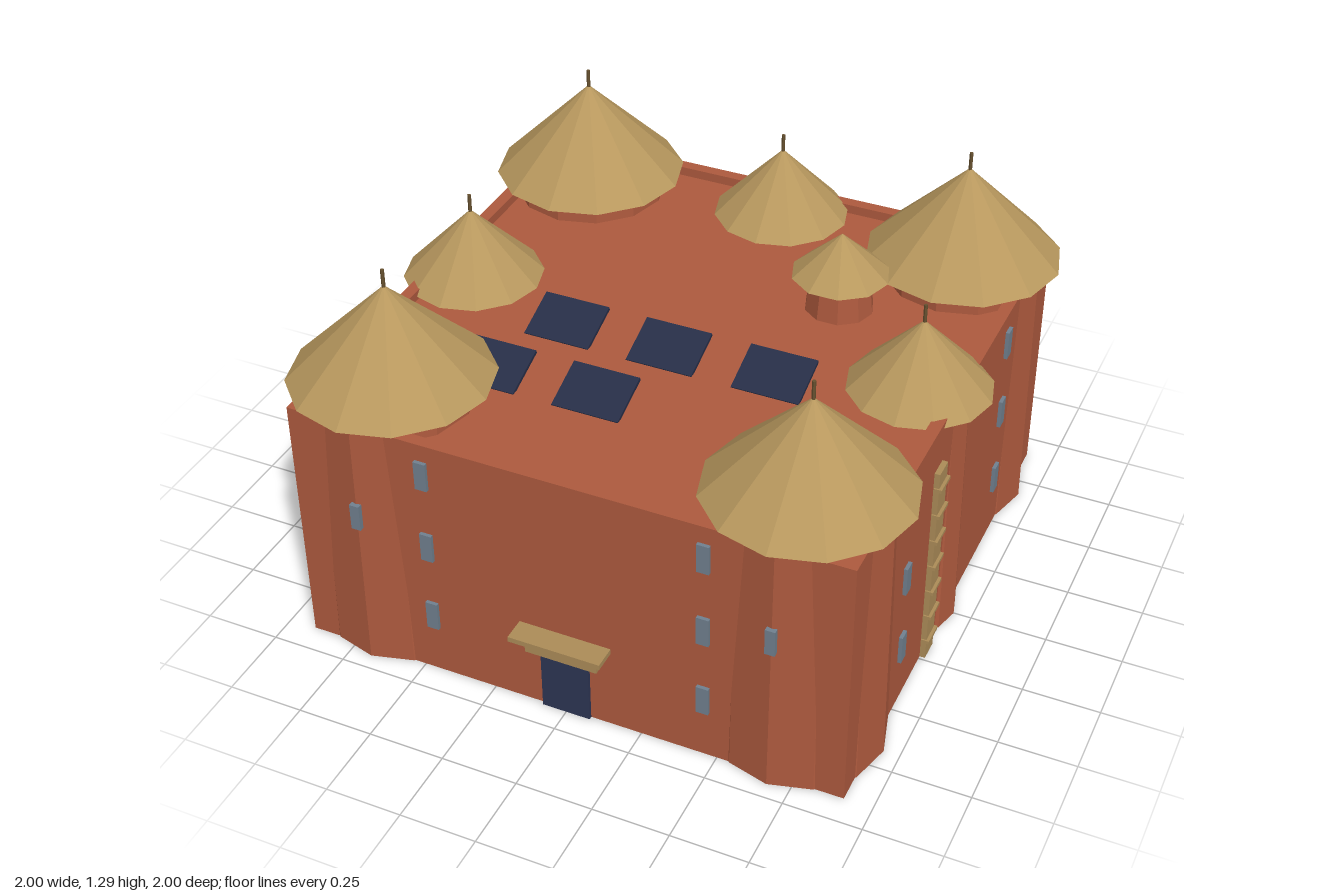
import * as THREE from 'three';

const mat = (name, color) => {
  const m = new THREE.MeshStandardMaterial({ color, flatShading: true });
  m.name = name;
  return m;
};

export function createModel() {
  const clay = mat('terracotta clay', 0xae5a3e);
  const thatch = mat('straw thatch', 0xb8985e);
  const wood = mat('pale wood', 0xac8c58);
  const pole = mat('dark wood', 0x66502f);
  const glass = mat('window slate', 0x70808f);
  const navy = mat('door navy', 0x2d3554);
  const panelBlue = mat('panel navy', 0x272e47);

  const root = new THREE.Group();
  root.name = 'fortress';

  const add = (parent, name, geo, material, x, y, z) => {
    const m = new THREE.Mesh(geo, material);
    m.name = name;
    m.position.set(x, y, z);
    parent.add(m);
    return m;
  };
  const box = (parent, name, material, w, h, d, x, y, z) =>
    add(parent, name, new THREE.BoxGeometry(w, h, d), material, x, y, z);
  // upright faceted drum between two heights
  const drum = (parent, name, material, rTop, rBase, y0, y1, sides = 12) =>
    add(parent, name, new THREE.CylinderGeometry(rTop, rBase, y1 - y0, sides), material, 0, (y0 + y1) / 2, 0);

  // main block with a sunken roof deck and parapet
  const W = 0.908, H = 0.88, DECK = 0.848, T = 0.04;
  box(root, 'mainBlock', clay, 2 * W, DECK, 2 * W, 0, DECK / 2, 0);
  for (const s of [-1, 1]) {
    const y = (H + DECK) / 2, h = H - DECK, c = s * (W - T / 2);
    box(root, 'parapet', clay, 2 * W, h, T, 0, y, c);
    box(root, 'parapet', clay, T, h, 2 * (W - T), c, y, 0);
  }

  // tapered towers with a rim, conical thatch roof and finial
  const tower = (name, x, z, o) => {
    const g = new THREE.Group();
    g.name = name;
    g.position.set(x, 0, z);
    drum(g, 'towerWall', clay, o.rTop, o.rBase, o.y0, o.eave, o.sides);
    drum(g, 'towerRim', clay, o.rim, o.rim, o.rimY, o.eave, o.sides);
    add(g, 'thatchRoof', new THREE.ConeGeometry(o.roof, o.apex - o.eave, o.sides), thatch, 0, (o.eave + o.apex) / 2, 0);
    if (o.tip) drum(g, 'finial', pole, 0.006, 0.006, o.apex - 0.02, o.tip, 6);
    root.add(g);
    return g;
  };
  const big = { rTop: 0.257, rBase: 0.271, rim: 0.266, rimY: 0.885, roof: 0.322, y0: 0, eave: 0.92, apex: 1.24, tip: 1.295, sides: 12 };
  const small = { rTop: 0.158, rBase: 0.171, rim: 0.171, rimY: 0.828, roof: 0.23, y0: 0, eave: 0.86, apex: 1.1, tip: 1.155, sides: 12 };
  const vent = { rTop: 0.1, rBase: 0.113, rim: 0.11, rimY: 0.96, roof: 0.16, y0: DECK, eave: 0.973, apex: 1.12, sides: 10 };
  for (const x of [-0.677, 0.677]) for (const z of [-0.677, 0.677]) tower('cornerTower', x, z, big);
  tower('sideTower', -0.77, 0, small);
  tower('sideTower', 0.77, 0, small);
  tower('backTower', 0, -0.77, small);
  tower('roofTurret', 0.383, -0.323, vent).rotation.y = Math.PI / 10;

  // windows: two columns of three on every wall
  for (let i = 0; i < 4; i++) {
    const side = new THREE.Group();
    side.name = 'wallWindows';
    side.rotation.y = (i * Math.PI) / 2;
    for (const x of [-0.455, 0.455])
      for (const y of [0.225, 0.497, 0.77]) box(side, 'window', glass, 0.04, 0.1, 0.024, x, y, W);
    root.add(side);
  }
  for (const x of [-0.677, 0.677]) box(root, 'towerWindow', glass, 0.032, 0.09, 0.03, x, 0.565, 0.937);

  // entrance
  box(root, 'door', navy, 0.16, 0.225, 0.024, 0, 0.1125, W);
  box(root, 'doorLintel', wood, 0.24, 0.03, 0.05, 0, 0.24, W + 0.01);
  box(root, 'doorCanopy', wood, 0.305, 0.018, 0.09, 0, 0.298, W + 0.033);

  // ladder on the side wall
  const ladder = new THREE.Group();
  ladder.name = 'ladder';
  ladder.position.set(W, 0, 0.203);
  box(ladder, 'ladderBoard', wood, 0.02, 0.735, 0.072, 0.008, 0.3675, 0);
  for (let i = 0; i < 7; i++) box(ladder, 'rung', wood, 0.026, 0.012, 0.082, 0.015, 0.07 + i * 0.101, 0);
  root.add(ladder);

  // tilted panels on the deck
  for (const [x, z] of [[-0.354, 0.15], [0, 0.15], [0.354, 0.15], [-0.455, 0.455], [-0.103, 0.455]])
    box(root, 'roofPanel', panelBlue, 0.222, 0.012, 0.17, x, 0.876, z).rotation.x = 0.36;

  return root;
}
